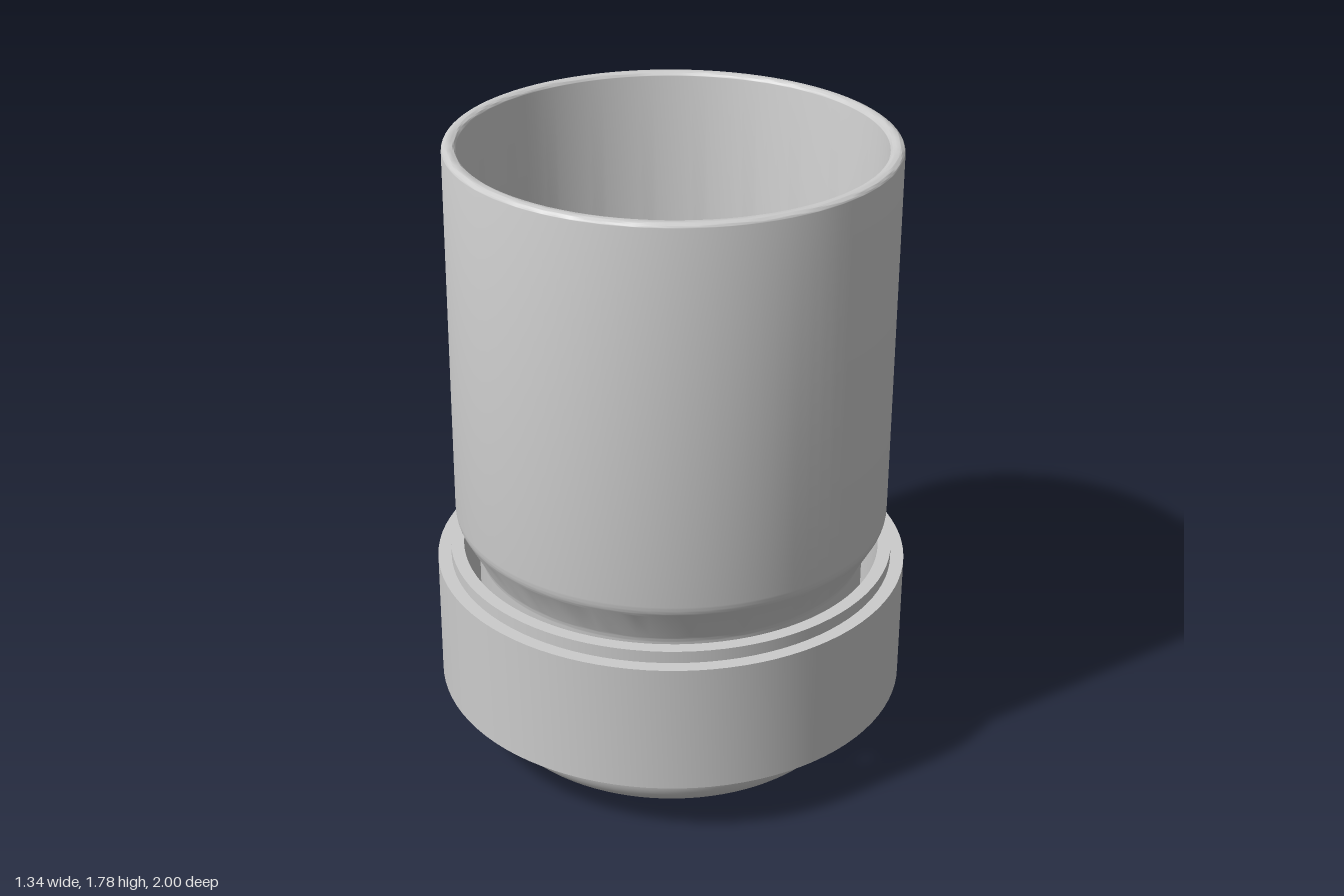
import * as THREE from 'three';
import { toCreasedNormals } from 'three/addons/utils/BufferGeometryUtils.js';

const material = new THREE.MeshStandardMaterial({ color: 0xcccccc });
const CUP_Z = 0.33;

function add(group, name, geometry, x, y, z) {
  const mesh = new THREE.Mesh(geometry, material);
  mesh.name = name;
  mesh.position.set(x, y, z);
  group.add(mesh);
}

// Turned part: the profile runs up the outside and down the inside
function turned(points) {
  return toCreasedNormals(new THREE.LatheGeometry(points, 96), 0.6);
}

// Plain band with a rectangular section
function band(inner, outer, bottom, top) {
  const corners = [[inner, bottom], [outer, bottom], [outer, top], [inner, top], [inner, bottom]];
  return turned(corners.map(([r, y]) => new THREE.Vector2(r, y)));
}

// Hollow tumbler with rounded base, narrowed waist and rounded rim
function tumbler() {
  const path = new THREE.Path();
  path.moveTo(0, 0);
  path.lineTo(0.45, 0);
  path.absarc(0.45, 0.1, 0.1, -Math.PI / 2, 0, false);
  path.lineTo(0.55, 0.55);
  path.quadraticCurveTo(0.55, 0.565, 0.557, 0.58);
  path.lineTo(0.606, 0.67);
  path.quadraticCurveTo(0.615, 0.685, 0.615, 0.71);
  path.lineTo(0.615, 1.765);
  path.absarc(0.6, 1.765, 0.015, 0, Math.PI / 2, false);
  path.lineTo(0.59, 1.78);
  path.absarc(0.59, 1.765, 0.015, Math.PI / 2, Math.PI, false);
  path.lineTo(0.575, 0.71);
  path.quadraticCurveTo(0.575, 0.695, 0.566, 0.68);
  path.lineTo(0.517, 0.59);
  path.quadraticCurveTo(0.51, 0.575, 0.51, 0.56);
  path.lineTo(0.51, 0.12);
  path.absarc(0.43, 0.12, 0.08, 0, -Math.PI / 2, true);
  path.lineTo(0, 0.04);
  return turned(path.getPoints(8));
}

export function createModel() {
  const group = new THREE.Group();
  group.name = 'wallTumblerHolder';

  add(group, 'tumbler', tumbler(), 0, 0, CUP_Z);

  // Holder ring and the thin liner showing above and below it
  add(group, 'holderRing', band(0.625, 0.67, 0.17, 0.545), 0, 0, CUP_Z);
  add(group, 'ringLiner', band(0.595, 0.632, 0.152, 0.58), 0, 0, CUP_Z);

  // Wall mount
  add(group, 'supportArm', new THREE.BoxGeometry(0.26, 0.255, 0.51), 0, 0.3625, -0.56);
  add(group, 'wallPlate', new THREE.BoxGeometry(0.78, 0.52, 0.185), 0, 0.365, -0.9075);

  return group;
}
